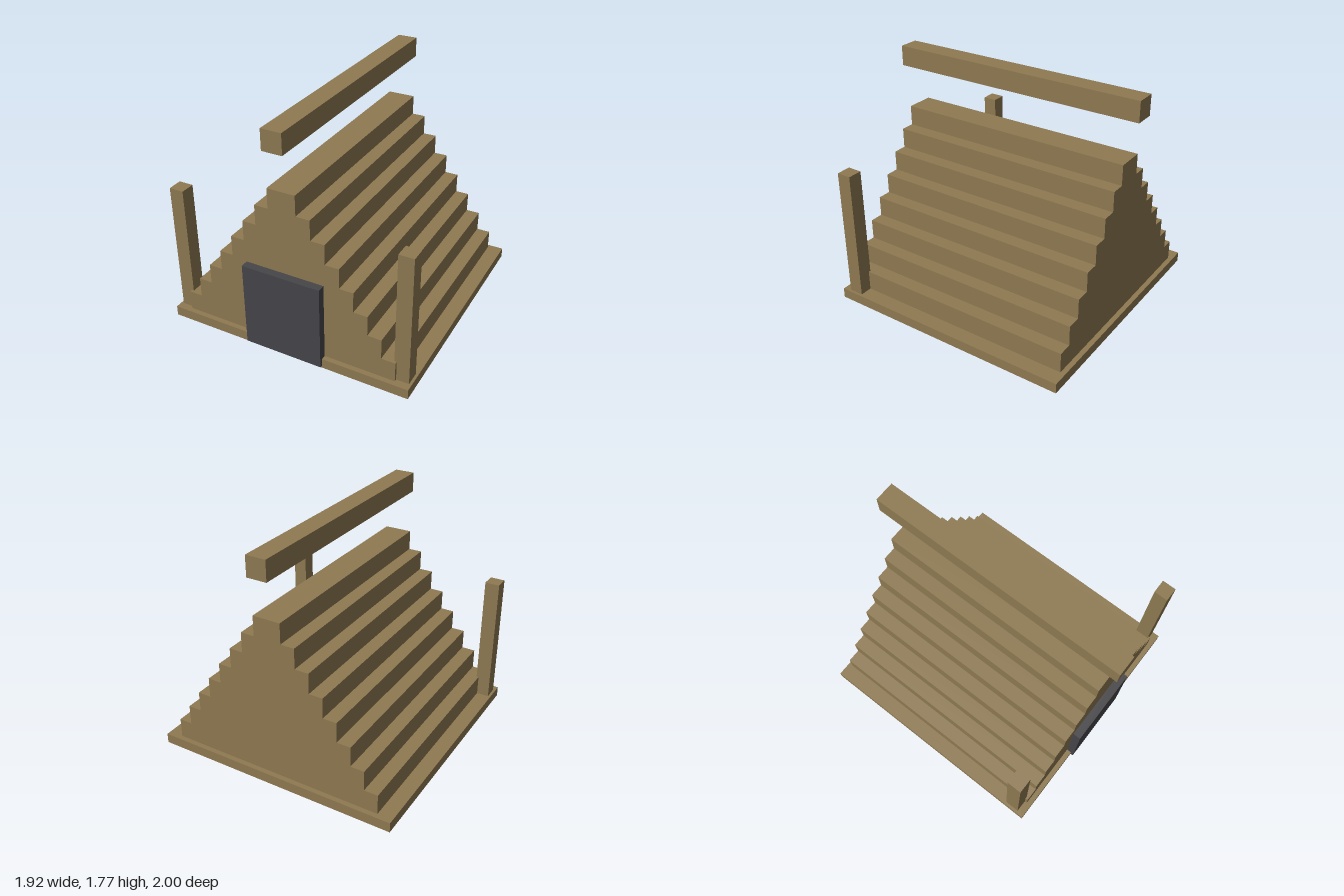
import * as THREE from 'three';

const timber = new THREE.MeshStandardMaterial({ color: 0x8f7a52 });
timber.name = 'timber brown';
const charcoal = new THREE.MeshStandardMaterial({ color: 0x464549 });
charcoal.name = 'charcoal';

// Box given by its lowest and highest corners
function block(name, min, max, material) {
  const size = max.map((v, i) => v - min[i]);
  const mesh = new THREE.Mesh(new THREE.BoxGeometry(...size), material);
  mesh.position.set(...max.map((v, i) => (v + min[i]) / 2));
  mesh.name = name;
  return mesh;
}

// Stepped gable outline, extruded along z
function steppedRoof() {
  const steps = 8, baseY = 0.077, rise = 0.154, halfWidth = 0.845, run = 0.1055, depth = 1.844;
  const right = [];
  for (let i = 0; i < steps; i++) {
    const x = halfWidth - i * run;
    right.push([x, baseY + i * rise], [x, baseY + (i + 1) * rise]);
  }
  const left = right.map(([x, y]) => [-x, y]).reverse();
  const shape = new THREE.Shape([...right, ...left].map(([x, y]) => new THREE.Vector2(x, y)));
  const geometry = new THREE.ExtrudeGeometry(shape, { depth, bevelEnabled: false });
  geometry.translate(0, 0, -depth / 2);
  const mesh = new THREE.Mesh(geometry, timber);
  mesh.name = 'steppedRoof';
  return mesh;
}

export function createModel() {
  const model = new THREE.Group();
  model.name = 'steppedHut';

  model.add(block('floorSlab', [-0.96, 0, -0.96], [0.96, 0.077, 0.96], timber));
  model.add(steppedRoof());
  model.add(block('door', [-0.305, 0.02, 0.905], [0.305, 0.675, 0.983], charcoal));
  model.add(block('ridgeBeam', [-0.077, 1.618, -1], [0.077, 1.772, 1], timber));

  // Front corner posts
  for (const [name, x] of [['leftPost', 0.884], ['rightPost', -0.884]]) {
    model.add(block(name, [x - 0.056, 0.077, 0.79], [x + 0.056, 1.08, 0.902], timber));
  }
  return model;
}
